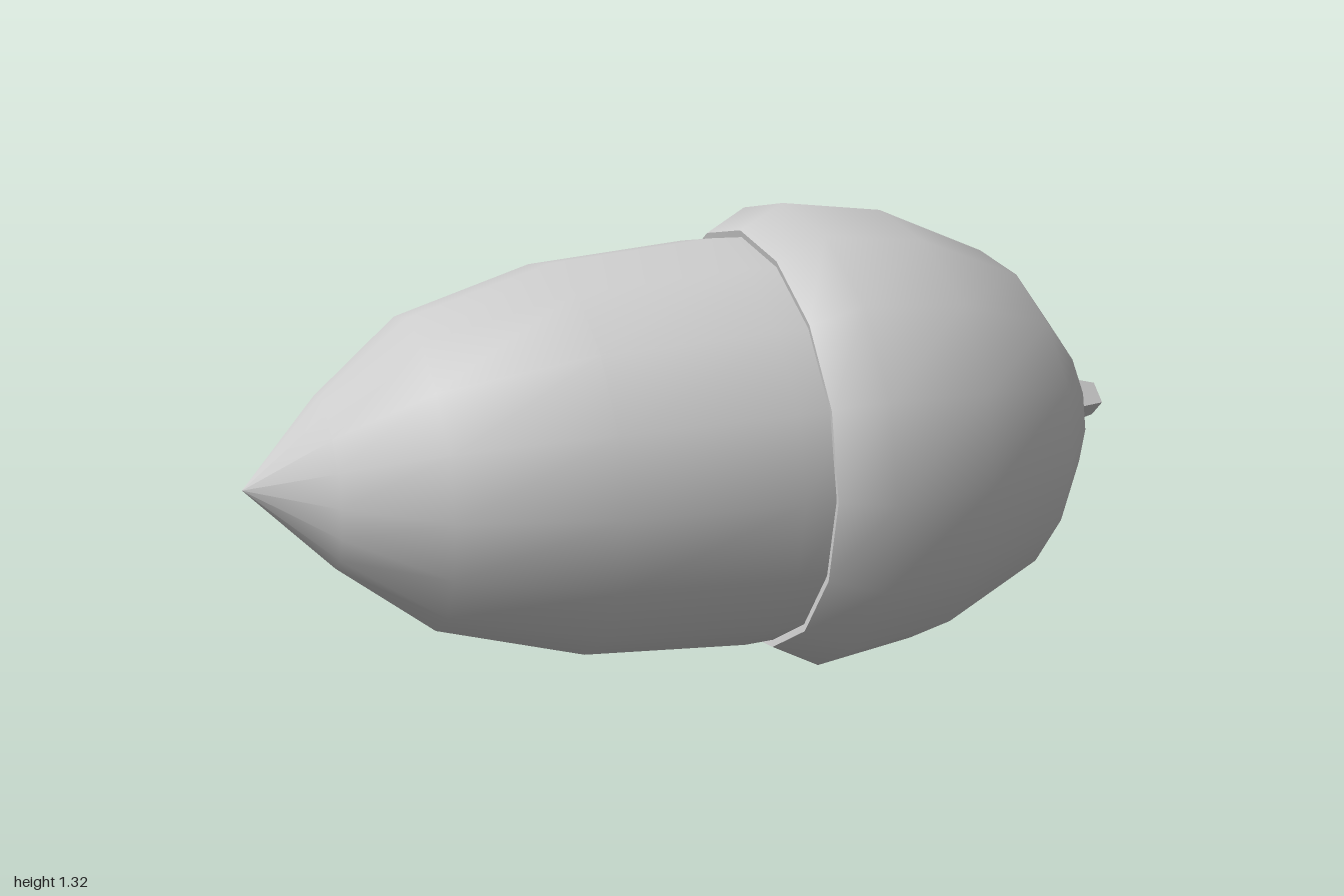
import * as THREE from 'three';

const SIDES = 16;
const FLATTEN = 0.9; // the nut is slightly squashed in height

// Smooth turned part from [radius, distance along axis] pairs
function turned(name, profile) {
  const points = profile.map(([r, s]) => new THREE.Vector2(r, s));
  const material = new THREE.MeshStandardMaterial({ color: 0xcccccc, side: THREE.DoubleSide });
  const mesh = new THREE.Mesh(new THREE.LatheGeometry(points, SIDES), material);
  mesh.name = name;
  mesh.scale.x = FLATTEN;
  return mesh;
}

export function createModel() {
  const model = new THREE.Group();
  model.name = 'acorn';

  // Acorn is built upright along y, then laid on its side
  const acorn = new THREE.Group();
  acorn.name = 'acornBody';

  // Nut with pointed tip, tucked into the cap
  acorn.add(turned('nut', [
    [0, -1.312], [0.25, -1.103], [0.463, -0.867], [0.593, -0.478], [0.636, -0.017], [0.632, 0.12],
  ]));

  // Domed cap
  acorn.add(turned('cap', [
    [0.655, 0.063], [0.731, 0.19], [0.692, 0.488], [0.541, 0.82], [0.295, 1.02], [0, 1.075],
  ]));

  // Underside of the cap's rim
  acorn.add(turned('capRim', [[0.6, 0.075], [0.655, 0.063]]));

  // Four-sided tapering stem
  const stem = new THREE.Mesh(
    new THREE.CylinderGeometry(0.05, 0.11, 0.24, 4),
    new THREE.MeshStandardMaterial({ color: 0xcccccc, flatShading: true }),
  );
  stem.name = 'stem';
  stem.position.y = 1.12;
  acorn.add(stem);

  // Lay down, then turn so the tip points to the front right
  acorn.rotation.z = -Math.PI / 2;
  const turn = new THREE.Group();
  turn.name = 'lyingAcorn';
  turn.add(acorn);
  turn.rotation.y = THREE.MathUtils.degToRad(40);
  turn.position.set(0.008, 0.658, 0.009);
  model.add(turn);
  return model;
}
